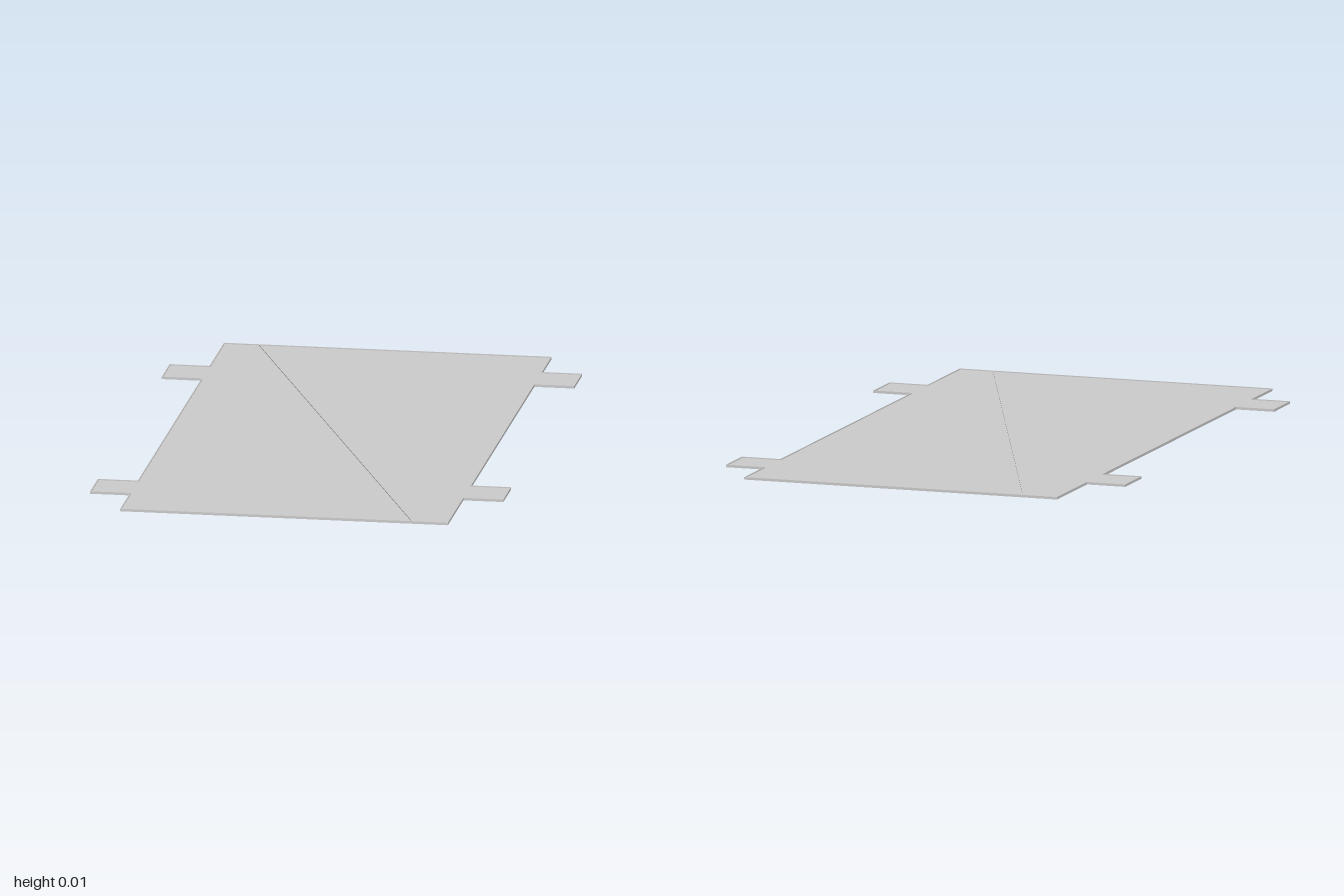
import * as THREE from 'three';

const HEIGHT = 0.008; // full height including the rim
const FLOOR = 0.005; // thickness of the flat plate
const RIM = 0.003; // width of the rim and of the seam

export function createModel() {
  const group = new THREE.Group();
  group.name = 'tabbedPanel';
  const material = new THREE.MeshStandardMaterial({ color: 0xcccccc, flatShading: true });

  const add = (name, geometry) => {
    const mesh = new THREE.Mesh(geometry, material);
    mesh.name = name;
    group.add(mesh);
    return mesh;
  };

  // Outline as [x, z]: up the right side with its tabs, then down the left side
  const body = 0.517, tab = 0.643;
  const side = (sign, spans) =>
    spans.flatMap(([a, b]) => [[sign * body, a], [sign * tab, a], [sign * tab, b], [sign * body, b]]);
  const outline = [
    [body, 1], ...side(1, [[0.7, 0.55], [-0.667, -0.817]]), [body, -1],
    [-body, -1], ...side(-1, [[-0.722, -0.571], [0.66, 0.81]]), [-body, 1],
  ];

  // Flat plate with four side tabs
  const shape = new THREE.Shape(outline.map(([x, z]) => new THREE.Vector2(x, -z)));
  const plate = new THREE.ExtrudeGeometry(shape, { depth: FLOOR, bevelEnabled: false });
  add('plate', plate.rotateX(-Math.PI / 2));

  // Narrow upright strip between two points, shifted to the inner side
  const strip = (name, [ax, az], [bx, bz], shift) => {
    const dx = bx - ax, dz = bz - az, length = Math.hypot(dx, dz);
    const mesh = add(name, new THREE.BoxGeometry(length, HEIGHT, RIM));
    mesh.position.set((ax + bx) / 2 + (dz / length) * shift, HEIGHT / 2, (az + bz) / 2 - (dx / length) * shift);
    mesh.rotation.y = -Math.atan2(dz, dx);
  };

  // Low rim around the outline
  outline.forEach((p, i) => strip('rim', p, outline[(i + 1) % outline.length], RIM / 2));

  // Diagonal seam across the plate
  strip('diagonalSeam', [-0.405, -0.998], [0.405, 0.998], 0);

  return group;
}
